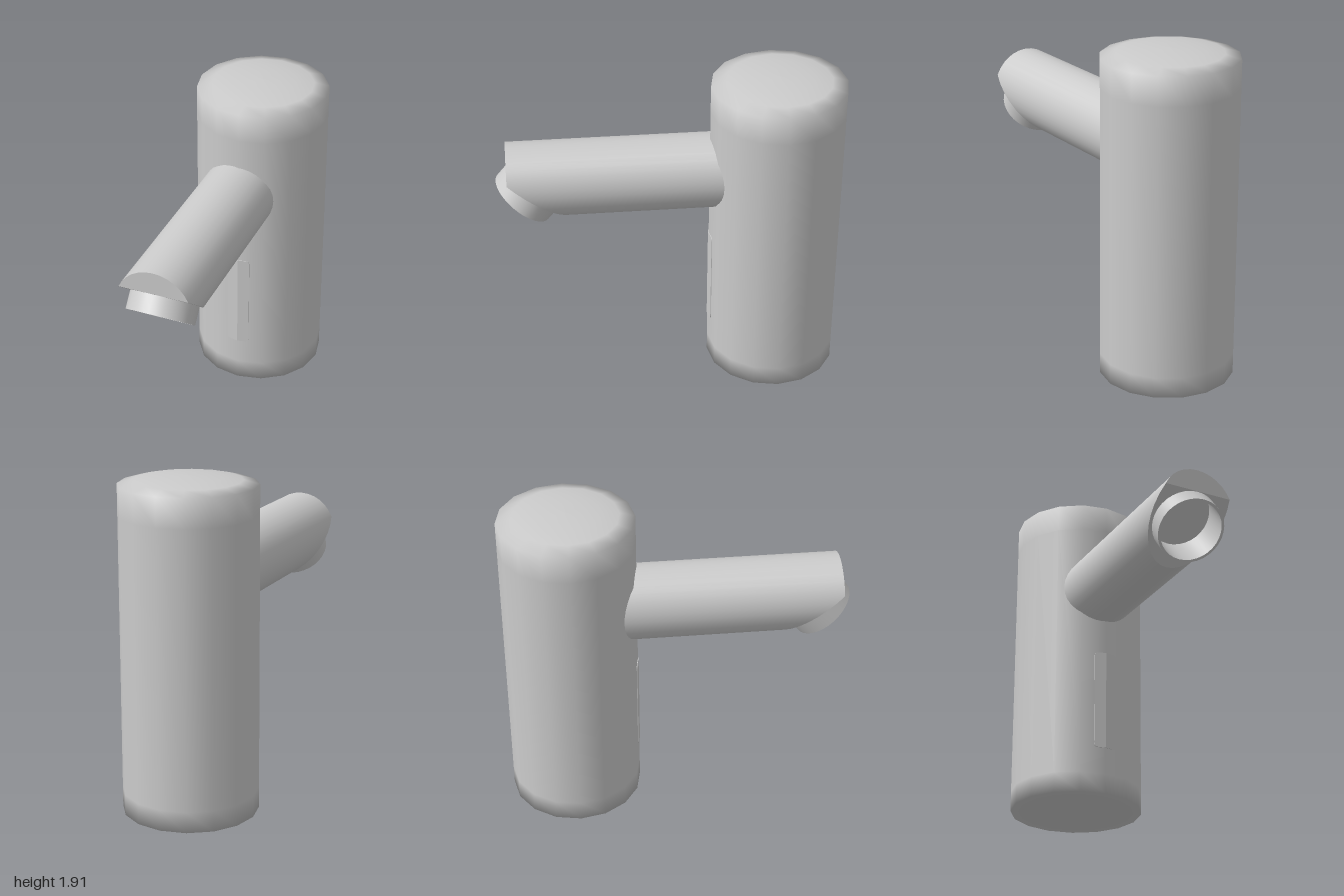
import * as THREE from 'three';
import { toCreasedNormals } from 'three/addons/utils/BufferGeometryUtils.js';

const material = new THREE.MeshStandardMaterial({ color: 0xcccccc });

function addMesh(parent, name, geometry) {
  const mesh = new THREE.Mesh(geometry, material);
  mesh.name = name;
  parent.add(mesh);
  return mesh;
}

// Body: 16-sided column with a shallow domed top
const BODY_R = 0.387, BODY_Z = -0.613;

function createBody() {
  const profile = [[0, 0], [BODY_R, 0], [BODY_R, 0.12], [BODY_R, 1.7], [BODY_R, 1.865],
    [0.3, 1.888], [0.2, 1.901], [0.1, 1.909], [0, 1.911]];
  const geometry = new THREE.LatheGeometry(profile.map(([x, y]) => new THREE.Vector2(x, y)), 16);
  return geometry.translate(0, 0, BODY_Z);
}

// Half of the sensor window, lying on one front facet of the body
function createWindowHalf(side) {
  const w = 0.069, y0 = 0.28, y1 = 0.88, r = 0.025;
  const shape = new THREE.Shape();
  shape.moveTo(0, y0);
  shape.lineTo(side * (w - r), y0);
  shape.quadraticCurveTo(side * w, y0, side * w, y0 + r);
  shape.lineTo(side * w, y1 - r);
  shape.quadraticCurveTo(side * w, y1, side * (w - r), y1);
  shape.lineTo(0, y1);
  const geometry = new THREE.ExtrudeGeometry(shape, { depth: 0.03, bevelEnabled: false, curveSegments: 5 });
  const p = geometry.attributes.position;
  for (let i = 0; i < p.count; i++) {
    p.setZ(i, p.getZ(i) + BODY_Z + BODY_R - 0.026 - Math.abs(p.getX(i)) * Math.tan(Math.PI / 16));
  }
  geometry.computeVertexNormals();
  return geometry;
}

// Spout: round bar with a flat nose and a slanted underside
const R = 0.218, CY = 1.307, NOSE_Z = 0.935, HEEL_Z = 0.565, ROOT_Z = -0.5;
const HEEL_Y = CY - R;
const CREASE = Math.PI * 0.375;
const RISE = CY + R * Math.cos(CREASE) - HEEL_Y;
const RUN = NOSE_Z - HEEL_Z;
const SLANT = Math.hypot(RISE, RUN);

function createSpoutWall() {
  const geometry = new THREE.CylinderGeometry(R, R, 1, 32, 1, true).rotateX(Math.PI / 2);
  const p = geometry.attributes.position;
  for (let i = 0; i < p.count; i++) {
    const y = p.getY(i) + CY;
    const end = Math.min(NOSE_Z, HEEL_Z + (y - HEEL_Y) * RUN / RISE);
    p.setY(i, y);
    p.setZ(i, p.getZ(i) > 0 ? end : ROOT_Z);
  }
  return geometry;
}

// Points round the bar section, measured from the top
function arcPoints(from, to, steps, mapY) {
  return Array.from({ length: steps + 1 }, (_, i) => {
    const t = from + (to - from) * i / steps;
    return new THREE.Vector2(R * Math.sin(t), mapY(CY + R * Math.cos(t)));
  });
}

export function createModel() {
  const model = new THREE.Group();
  model.name = 'sensorTap';

  addMesh(model, 'body', createBody());

  const sensor = new THREE.Group();
  sensor.name = 'sensorWindow';
  model.add(sensor);
  for (const side of [-1, 1]) {
    addMesh(sensor, side > 0 ? 'windowLeft' : 'windowRight', createWindowHalf(side));
  }

  const spout = new THREE.Group();
  spout.name = 'spout';
  spout.position.x = -0.022;
  model.add(spout);
  addMesh(spout, 'spoutWall', createSpoutWall());

  const nose = new THREE.Shape(arcPoints(-CREASE, CREASE, 12, y => y));
  addMesh(spout, 'spoutNose', new THREE.ShapeGeometry(nose)).position.z = NOSE_Z;

  // Slanted underside, in its own frame: y runs up the slope, z points out
  const outlet = new THREE.Group();
  outlet.name = 'outlet';
  outlet.position.set(0, HEEL_Y, HEEL_Z);
  outlet.rotation.x = Math.atan2(RUN, RISE);
  spout.add(outlet);

  const collarR = 0.193, boreR = 0.178, collarY = SLANT - collarR - 0.002;
  const face = new THREE.Shape(arcPoints(CREASE, 2 * Math.PI - CREASE, 20, y => (y - HEEL_Y) * SLANT / RISE));
  face.holes.push(new THREE.Path().absarc(0, collarY, boreR + 0.005, 0, Math.PI * 2, true));
  addMesh(outlet, 'spoutUnderside', new THREE.ShapeGeometry(face, 16));

  // Hollow collar with a recessed floor
  const collar = [[collarR, -0.01], [collarR, 0.106], [boreR, 0.106], [boreR, -0.1], [0, -0.1]];
  const collarGeometry = new THREE.LatheGeometry(collar.map(([x, y]) => new THREE.Vector2(x, y)), 32)
    .rotateX(Math.PI / 2).translate(0, collarY, 0);
  addMesh(outlet, 'outletCollar', toCreasedNormals(collarGeometry, 0.7));

  return model;
}
